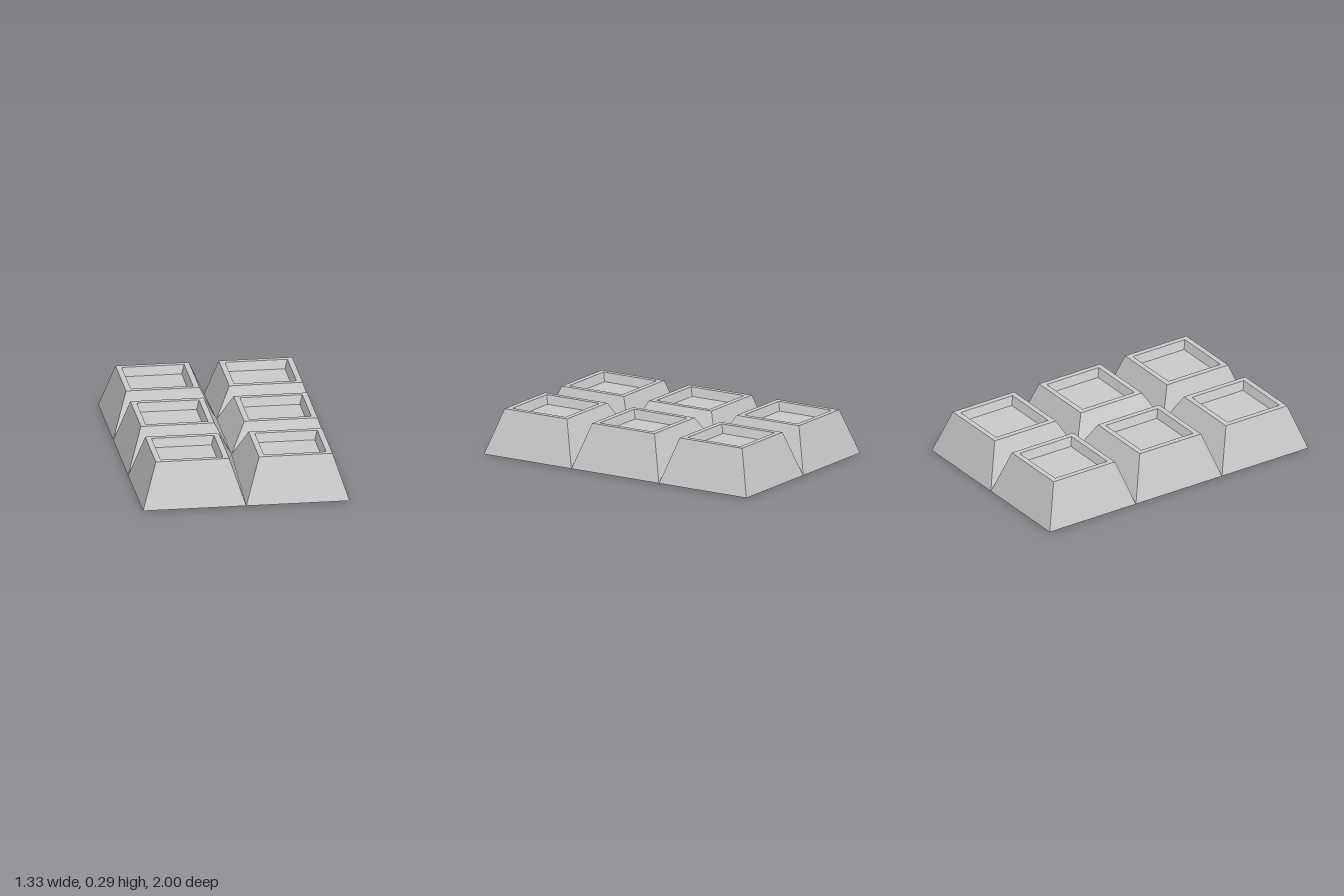
import * as THREE from 'three';

const PITCH = 2 / 3, HEIGHT = 0.293, GROOVE = 0.11, RECESS = 0.057;

// Four corners of a square ring, counter-clockwise seen from above
function ring(cx, cz, half, heightAt) {
  return [[1, 1], [1, -1], [-1, -1], [-1, 1]].map(([sx, sz]) => {
    const x = cx + sx * half, z = cz + sz * half;
    return new THREE.Vector3(x, heightAt(x, z), z);
  });
}

// One bevelled segment: sloped sides, flat rim, sloping recess walls and floor
function segmentGeometry(cx, cz) {
  // grooves rise from the slab's edge to where four segments meet
  const grooveHeight = (x, z) => (Math.abs(x) < 0.01 && Math.abs(z) < 0.5 ? GROOVE : 0);
  const top = () => HEIGHT;
  const rings = [
    ring(cx, cz, PITCH / 2, grooveHeight),
    ring(cx, cz, 0.237, top),
    ring(cx, cz, 0.201, top),
    ring(cx, cz, 0.182, () => HEIGHT - RECESS),
  ];
  const positions = [], normals = [];

  // Four-sided face with one even normal, split along its shorter diagonal
  function addQuad(a, b, c, d) {
    const normal = c.clone().sub(a).cross(d.clone().sub(b)).normalize();
    const corners = a.distanceTo(c) < b.distanceTo(d) ? [a, b, c, a, c, d] : [a, b, d, b, c, d];
    for (const corner of corners) {
      positions.push(...corner.toArray());
      normals.push(...normal.toArray());
    }
  }

  for (let r = 0; r < rings.length - 1; r++) {
    for (let i = 0; i < 4; i++) {
      const j = (i + 1) % 4;
      addQuad(rings[r][i], rings[r][j], rings[r + 1][j], rings[r + 1][i]);
    }
  }
  addQuad(...rings[3]);

  const geometry = new THREE.BufferGeometry();
  geometry.setAttribute('position', new THREE.Float32BufferAttribute(positions, 3));
  geometry.setAttribute('normal', new THREE.Float32BufferAttribute(normals, 3));
  return geometry;
}

export function createModel() {
  const model = new THREE.Group();
  model.name = 'segmentedBar';
  const material = new THREE.MeshStandardMaterial({ color: 0xcccccc });

  // Two columns by three rows of segments
  for (let row = -1; row <= 1; row++) {
    for (const side of [-1, 1]) {
      const segment = new THREE.Mesh(segmentGeometry(side * PITCH / 2, row * PITCH), material);
      segment.name = `segmentRow${row + 2}${side > 0 ? 'Left' : 'Right'}`;
      model.add(segment);
    }
  }

  // Flat underside
  const underside = new THREE.Mesh(new THREE.PlaneGeometry(2 * PITCH, 3 * PITCH), material);
  underside.rotation.x = Math.PI / 2;
  underside.name = 'underside';
  model.add(underside);

  return model;
}
